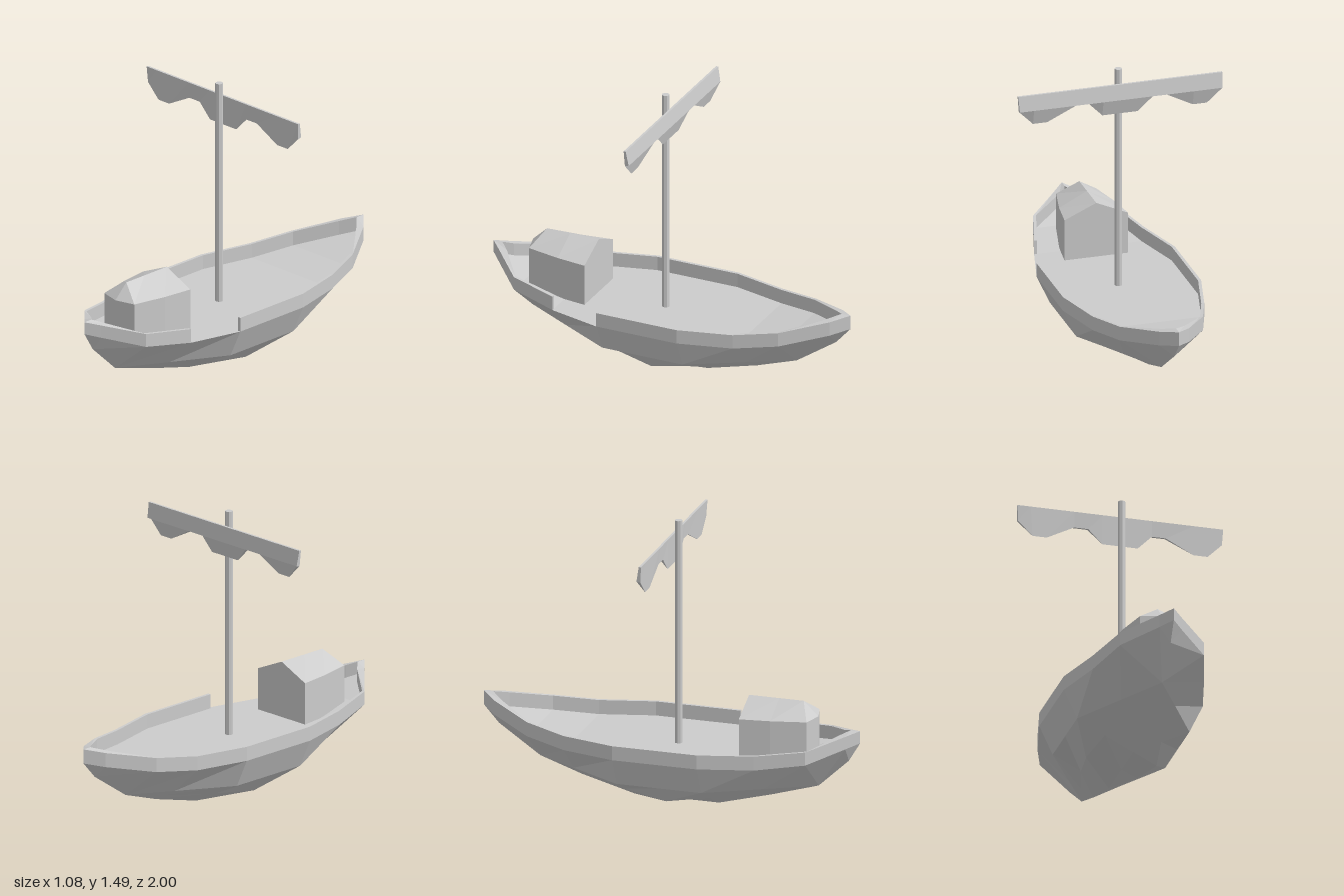
import * as THREE from 'three';

const material = new THREE.MeshStandardMaterial({ color: 0xcccccc, flatShading: true, side: THREE.DoubleSide });

// Skin a row of cross-sections; each section is a list of [x, y, z]
function loft(name, rings, closed = true) {
  const pos = [];
  const tri = (...pts) => {
    const [a, b, c] = pts.map((p) => new THREE.Vector3(...p));
    if (b.clone().sub(a).cross(c.clone().sub(a)).length() > 1e-7) pos.push(...pts.flat());
  };
  const n = rings[0].length;
  for (let i = 0; i < rings.length - 1; i++) {
    const a = rings[i], b = rings[i + 1];
    for (let j = 0; j < (closed ? n : n - 1); j++) {
      const k = (j + 1) % n;
      tri(a[j], a[k], b[j]);
      tri(a[k], b[k], b[j]);
    }
  }
  if (closed) {
    const first = rings[0], last = rings[rings.length - 1];
    for (let j = 1; j < n - 1; j++) {
      tri(first[0], first[j + 1], first[j]);
      tri(last[0], last[j], last[j + 1]);
    }
  }
  const geometry = new THREE.BufferGeometry();
  geometry.setAttribute('position', new THREE.Float32BufferAttribute(pos, 3));
  geometry.computeVertexNormals();
  const mesh = new THREE.Mesh(geometry, material);
  mesh.name = name;
  return mesh;
}

// Hull stations, bow to stern: z, half width, keel y, chine x, chine y, deck y, rail top y
const stations = [
  [1.0, 0, 0.40, 0, 0.40, 0.40, 0.465],
  [0.94, 0.058, 0.30, 0, 0.30, 0.38, 0.447],
  [0.78, 0.22, 0.15, 0, 0.15, 0.33, 0.40],
  [0.53, 0.292, 0.075, 0.14, 0.15, 0.30, 0.375],
  [0.25, 0.365, 0, 0.295, 0.15, 0.30, 0.375],
  [0.03, 0.365, 0, 0.295, 0.15, 0.30, 0.375],
  [-0.2, 0.365, 0, 0.295, 0.15, 0.30, 0.375],
  [-0.48, 0.295, 0.075, 0.13, 0.15, 0.30, 0.375],
  [-0.7, 0.22, 0.15, 0, 0.15, 0.325, 0.40],
  [-0.92, 0.078, 0.30, 0, 0.30, 0.37, 0.445],
  [-1.0, 0, 0.39, 0, 0.39, 0.39, 0.465],
];

// Faceted hull: gunwale, chine, bilge and keel, mirrored
function hullSection([z, w, keel, cx, cy, deck]) {
  const bilge = z === 0.03 ? [0.185, 0.045] : [cx / 2, (keel + cy) / 2];
  const half = [[w, deck], [cx, cy], bilge];
  return [
    ...half.map(([x, y]) => [x, y, z]),
    [0, keel, z],
    ...half.reverse().map(([x, y]) => [-x, y, z]),
  ];
}

// Rail section: outer edge on the hull, inner edge set in; deeper at the stems
function railSection([z, w, , , , deck, top], side) {
  const tip = Math.abs(z) === 1, near = Math.abs(z) > 0.9;
  const inX = side * (tip ? 0 : w - 0.016);
  const inZ = tip ? z * 0.95 : near ? z - Math.sign(z) * 0.035 : z;
  const ring = [[side * w, deck, z], [inX, deck, inZ], [inX, top, inZ], [side * w, top, z]];
  return side > 0 ? ring : ring.reverse();
}

function createRails() {
  const rails = new THREE.Group();
  rails.name = 'rails';
  const run = (name, side, from, to) =>
    rails.add(loft(name, stations.slice(from, to).map((s) => railSection(s, side))));
  run('rightRail', -1, 0, stations.length);
  // The left rail is open between two stations for boarding
  run('leftBowRail', 1, 0, 4);
  run('leftSternRail', 1, 4, stations.length);
  return rails;
}

// Cabin with tapering walls, ridged roof and a shallow pointed front
function createCabin() {
  const base = 0.29, eave = 0.52, ridge = 0.595;
  const section = (z, w, ridgeZ) => [
    [w, base, z], [-w, base, z], [-w, eave, z], [0, ridge, ridgeZ], [w, eave, z],
  ];
  const tip = [base, base, eave, eave, eave].map((y) => [0, y, 0.778]);
  return loft('cabin', [tip, section(0.75, 0.107, 0.70), section(0.57, 0.147, 0.57), section(0.41, 0.168, 0.41)]);
}

// Furled sail with three hanging lobes: top x, bottom x, bottom y
function createSail() {
  const half = [
    [0.54, 0.535, 1.33], [0.47, 0.46, 1.255], [0.385, 0.385, 1.255],
    [0.24, 0.24, 1.33], [0.167, 0.167, 1.33], [0.093, 0.093, 1.255],
  ];
  const columns = [...half.map(([t, b, y]) => [-t, -b, y]), ...half.slice().reverse()];
  return loft('sail', columns.map(([t, b, y]) => [
    [t, 1.415, 0.012], [b, y, 0.007], [b, 1.335, -0.014], [t, 1.415, 0],
  ]));
}

export function createModel() {
  const boat = new THREE.Group();
  boat.name = 'sailingBoat';
  boat.add(loft('hull', stations.map(hullSection), false));
  boat.add(loft('deck', stations.map(([z, w, , , , y]) => [[-w, y, z], [w, y, z]]), false));
  boat.add(createRails(), createCabin(), createSail());

  // Mast stepped on the deck
  const mast = new THREE.Mesh(new THREE.CylinderGeometry(0.02, 0.02, 1.195, 8), material);
  mast.name = 'mast';
  mast.position.set(0, 0.8925, 0.035);
  boat.add(mast);
  return boat;
}
